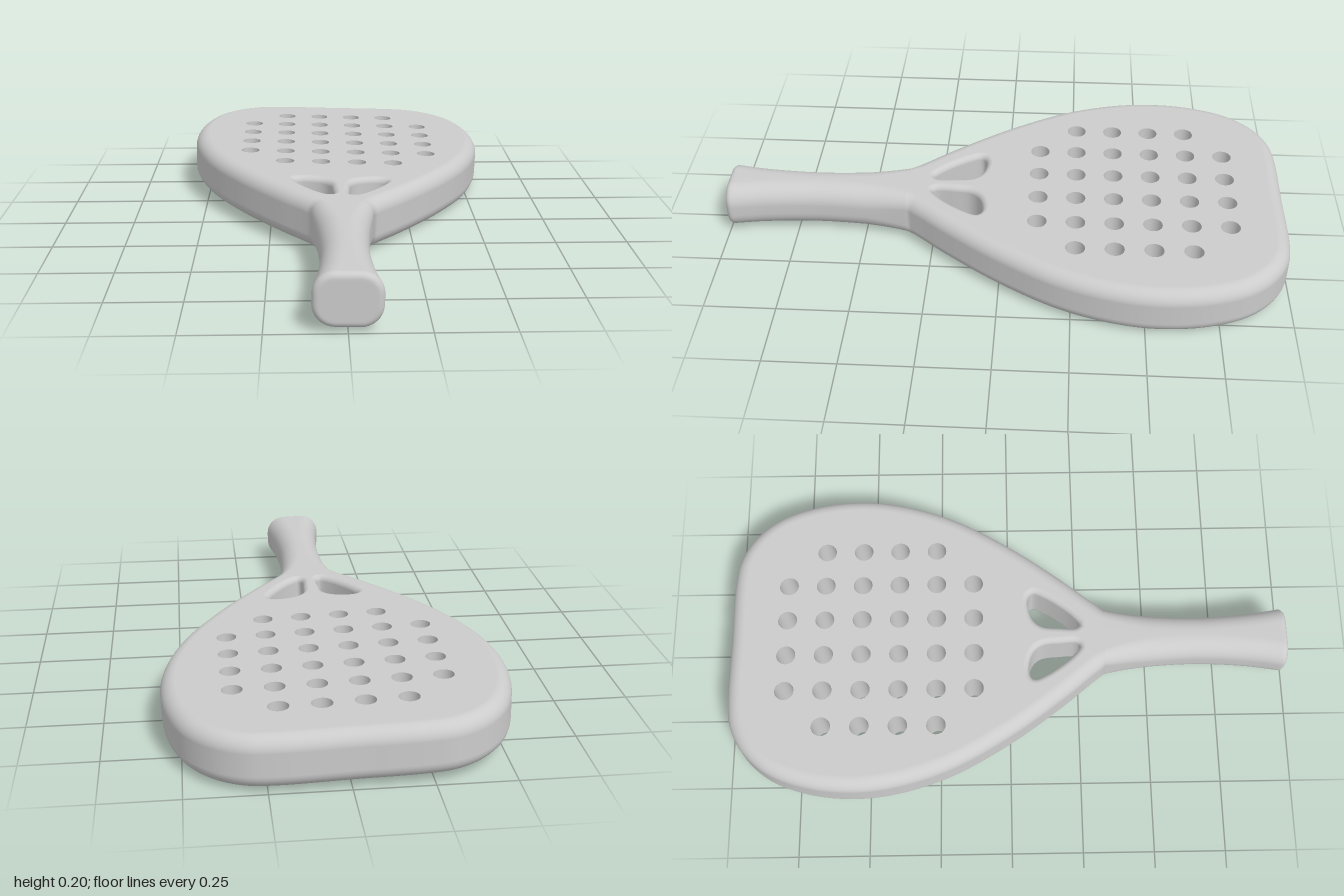
import * as THREE from 'three';

const HALF = 0.0875;   // half thickness of the racket
const EDGE = 0.05;     // rounding of the outer rim
const NECK = 0.345;    // z where the head meets the handle
const material = new THREE.MeshStandardMaterial({ color: 0xcccccc });

// Outlines are drawn in plan as (x, -z), with the solid on their left.
function sample(points, closed, count) {
  const curve = new THREE.CatmullRomCurve3(points.map(([x, z]) => new THREE.Vector3(x, -z, 0)), closed);
  const outline = [];
  for (let i = 0; i <= count; i++) {
    const p = curve.getPointAt(i / count), t = curve.getTangentAt(i / count);
    outline.push({ x: p.x, y: p.y, nx: t.y, ny: -t.x });
  }
  return outline;
}

function circle(cx, cz, r, count = 28) {
  return Array.from({ length: count + 1 }, (_, i) => {
    const a = -i / count * Math.PI * 2, c = Math.cos(a), s = Math.sin(a);
    return { x: cx + r * c, y: -cz + r * s, nx: -c, ny: -s };
  });
}

const inset = (outline, d) => outline.map(p => new THREE.Vector2(p.x - p.nx * d, p.y - p.ny * d));

function grid(rows, columns, wrap = false) {
  const index = [];
  const last = wrap ? columns : columns - 1;
  for (let i = 0; i < rows - 1; i++) {
    for (let j = 0; j < last; j++) {
      const k = (j + 1) % columns;
      const a = i * columns + j, b = i * columns + k;
      index.push(a, b, b + columns, a, b + columns, a + columns);
    }
  }
  return index;
}

// Upright wall along an outline, its top and bottom edges rounded by r
function wall(outline, r) {
  const profile = [];
  const steps = r ? 8 : 0;
  for (const side of [-1, 1]) {
    for (let k = 0; k <= steps; k++) {
      const a = steps ? (side < 0 ? k / steps - 1 : k / steps) * Math.PI / 2 : 0;
      profile.push({ a, d: r * (1 - Math.cos(a)), y: side * (HALF - r) + r * Math.sin(a) });
    }
  }
  const position = [], normal = [];
  for (const { a, d, y } of profile) {
    for (const p of outline) {
      position.push(p.x - p.nx * d, y, -(p.y - p.ny * d));
      normal.push(p.nx * Math.cos(a), Math.sin(a), -p.ny * Math.cos(a));
    }
  }
  const g = new THREE.BufferGeometry();
  g.setAttribute('position', new THREE.Float32BufferAttribute(position, 3));
  g.setAttribute('normal', new THREE.Float32BufferAttribute(normal, 3));
  g.setIndex(grid(profile.length, outline.length));
  return g;
}

// Rounded rectangle ring at depth z, anticlockwise seen from the front
function ring(hw, hh, r, z) {
  const out = [];
  for (let q = 0; q < 4; q++) {
    const sx = q === 0 || q === 3 ? 1 : -1, sy = q < 2 ? 1 : -1;
    for (let k = 0; k <= 8; k++) {
      const a = (q + k / 8) * Math.PI / 2;
      out.push(sx * (hw - r) + r * Math.cos(a), sy * (hh - r) + r * Math.sin(a), z);
    }
  }
  return out;
}

function handleGeometry() {
  const widths = new THREE.SplineCurve([
    [NECK, 0.106], [0.45, 0.091], [0.6, 0.08], [0.72, 0.079], [0.87, 0.09], [0.98, 0.107],
  ].map(p => new THREE.Vector2(...p)));
  const position = [];
  let rows = 0;
  const add = (...args) => { position.push(...ring(...args)); rows++; };
  for (let i = 0; i <= 30; i++) {
    const p = widths.getPoint(i / 30);
    add(p.y, HALF, THREE.MathUtils.lerp(EDGE, 0.07, Math.min(1, i / 8)), p.x);
  }
  // rounded butt, closed by a shrunken ring
  for (let k = 1; k <= 6; k++) {
    const a = k / 6 * Math.PI / 2, d = 0.02 * (1 - Math.cos(a));
    add(0.107 - d, HALF - d, 0.07 - d, 0.98 + 0.02 * Math.sin(a));
  }
  add(0.08, 0.06, 0.045, 1);
  add(0, 0, 0, 1);
  const g = new THREE.BufferGeometry();
  g.setAttribute('position', new THREE.Float32BufferAttribute(position, 3));
  g.setIndex(grid(rows, 36, true));
  g.computeVertexNormals();
  return g;
}

export function createModel() {
  const racket = new THREE.Group();
  racket.name = 'racket';
  const add = (name, geometry) => {
    const mesh = new THREE.Mesh(geometry, material);
    mesh.name = name;
    racket.add(mesh);
  };

  // Head outline, from the neck up the right-hand side and back down
  const half = [
    [0.106, NECK], [0.15, 0.29], [0.22, 0.205], [0.365, 0.005], [0.485, -0.21], [0.545, -0.4],
    [0.561, -0.55], [0.543, -0.71], [0.49, -0.85], [0.41, -0.94], [0.32, -0.987], [0.23, -1],
  ];
  const mirrored = half.map(([x, z]) => [-x, z]).reverse();
  const outer = sample([...half, [0, -1], ...mirrored], false, 160);
  // the rim meets the handle squarely
  Object.assign(outer[0], { nx: 1, ny: 0 });
  Object.assign(outer[outer.length - 1], { nx: -1, ny: 0 });
  add('headRim', wall(outer, EDGE));

  const face = new THREE.Shape(inset(outer, EDGE));
  const cut = (name, outline, r) => {
    add(name, wall(outline, r));
    face.holes.push(new THREE.Path(inset(outline, r).slice(0, -1)));
  };

  // Two throat openings beside the central strut
  const opening = [
    [0.165, 0.085], [0.14, 0.069], [0.07, 0.082], [0.038, 0.115], [0.029, 0.18],
    [0.028, 0.24], [0.04, 0.254], [0.08, 0.225], [0.15, 0.128],
  ];
  const flipped = opening.map(([x, z]) => [-x, z]).reverse();
  for (const [name, points] of [['leftThroatOpening', opening], ['rightThroatOpening', flipped]]) {
    let outline = sample(points, true, 56);
    if (!THREE.ShapeUtils.isClockWise(outline)) outline = sample([...points].reverse(), true, 56);
    cut(name, outline, 0.022);
  }

  // Drilled holes: four in the end rows, six in the others
  for (let row = 0; row < 6; row++) {
    const count = row === 0 || row === 5 ? 4 : 6;
    for (let i = 0; i < count; i++) {
      cut('drilledHole', circle((i - (count - 1) / 2) * 0.134, -0.796 + row * 0.134, 0.034), 0);
    }
  }

  // Flat hitting faces
  const top = new THREE.ShapeGeometry(face).rotateX(-Math.PI / 2).translate(0, HALF, 0);
  const bottom = top.clone().scale(1, -1, 1);
  bottom.index.array.reverse();
  add('topFace', top);
  add('bottomFace', bottom);

  add('handle', handleGeometry());

  // Resting with a slight sideways tilt
  racket.rotation.z = -0.0285;
  racket.position.y = 0.103;
  const model = new THREE.Group();
  model.add(racket);
  return model;
}
